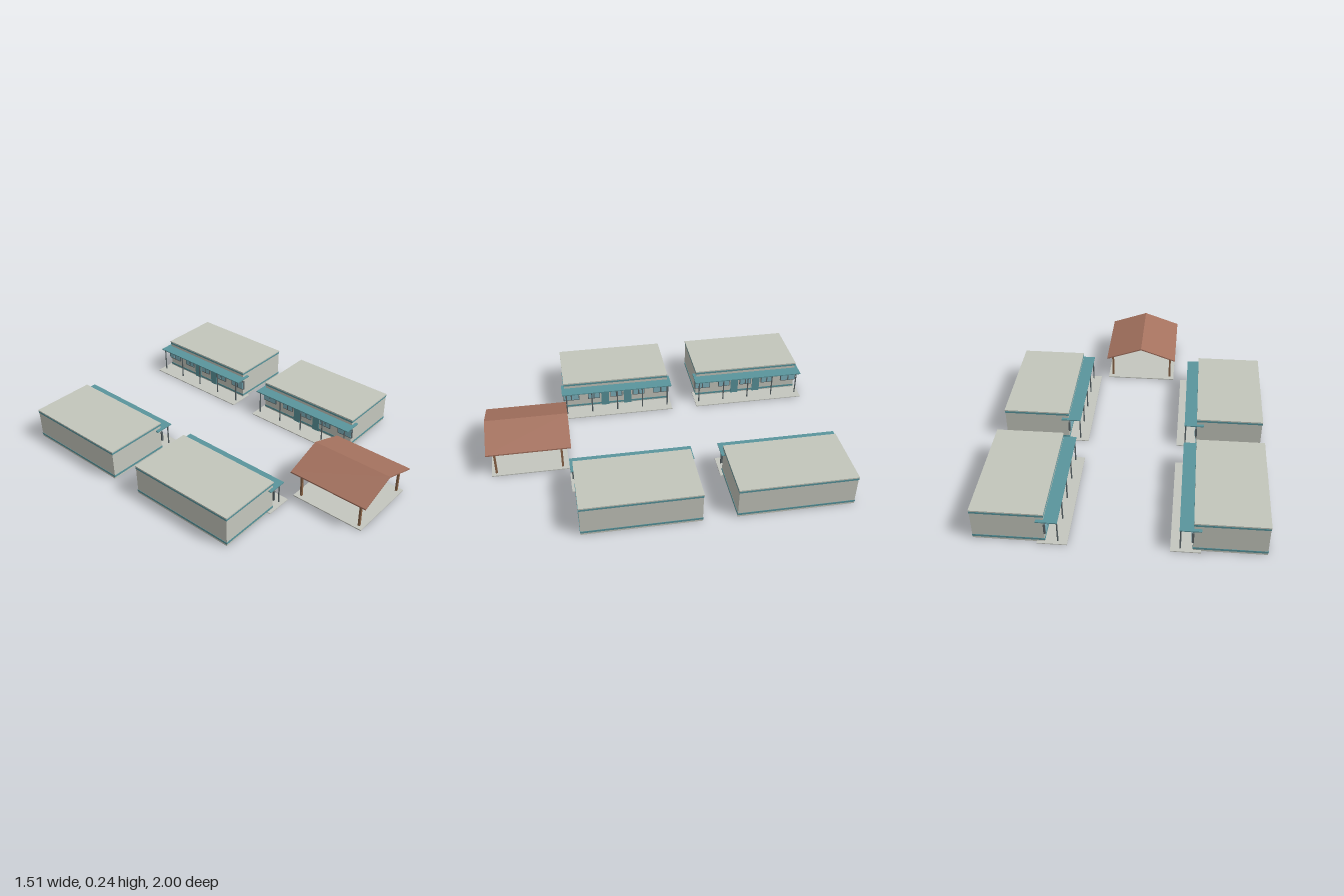
import * as THREE from 'three';

const paint = (name, color) => new THREE.MeshStandardMaterial({ name, color });

const wallGrey = paint('wall grey', 0xc6c8be);
const roofGrey = paint('roof grey', 0xc3c6bc);
const slabGrey = paint('slab grey', 0xc4c6bf);
const teal = paint('teal', 0x5a959c);
const frameGrey = paint('frame grey', 0x5c676a);
const glass = paint('glass', 0x7fb4c0);
const clay = paint('clay roof', 0xa5725f);
const timber = paint('timber', 0x8c6649);

// Box given by its lower and upper limits on each axis
function box(parent, name, material, [x0, x1], [y0, y1], [z0, z1]) {
  const geometry = new THREE.BoxGeometry(Math.abs(x1 - x0), y1 - y0, z1 - z0);
  const mesh = new THREE.Mesh(geometry, material);
  mesh.name = name;
  mesh.position.set((x0 + x1) / 2, (y0 + y1) / 2, (z0 + z1) / 2);
  parent.add(mesh);
  return mesh;
}

// One block; side is +1 for left and -1 for right, verandah facing the courtyard
function createBlock(side, zCentre) {
  const block = new THREE.Group();
  block.name = side > 0 ? 'leftBlock' : 'rightBlock';
  block.position.z = zCentre;
  const add = (name, material, x, y, z) =>
    box(block, name, material, x.map((v) => v * side), y, z);

  // Body, trim bands and flat roof
  add('walls', wallGrey, [0.377, 0.752], [0, 0.183], [-0.328, 0.328]);
  add('baseBand', teal, [0.375, 0.754], [0.012, 0.024], [-0.33, 0.33]);
  add('topBand', teal, [0.375, 0.754], [0.17, 0.181], [-0.33, 0.33]);
  add('roof', roofGrey, [0.375, 0.755], [0.183, 0.19], [-0.331, 0.331]);

  // Verandah floor, canopy and posts
  add('verandahSlab', slabGrey, [0.262, 0.418], [0, 0.005], [-0.345, 0.345]);
  add('canopy', teal, [0.305, 0.416], [0.147, 0.153], [-0.346, 0.346]);
  for (let i = -2; i <= 2; i++) {
    const post = new THREE.Mesh(new THREE.CylinderGeometry(0.004, 0.004, 0.142, 8), frameGrey);
    post.name = 'verandahPost';
    post.position.set(0.312 * side, 0.076, i * 0.16);
    block.add(post);
  }

  // Windows, the end ones wrapping the corners
  for (let i = -2; i <= 2; i++) {
    const half = Math.abs(i) === 2 ? 0.05 : 0.038;
    const z = i * 0.1435;
    add('windowFrame', frameGrey, [0.368, 0.379], [0.064, 0.126], [z - half, z + half]);
    for (const k of [-1, 1]) {
      const c = z + (k * half) / 2;
      const w = half / 2 - 0.004;
      add('windowPane', glass, [0.3665, 0.369], [0.069, 0.121], [c - w, c + w]);
    }
  }

  // Doors between the windows
  for (const z of [-0.072, 0.072]) {
    add('door', teal, [0.372, 0.378], [0.005, 0.126], [z - 0.024, z + 0.024]);
  }
  return block;
}

// Sloping bar across one side of the gable, extruded along z
function slope(parent, name, material, side, [xEave, yEave], yRidge, thickness, [z0, z1]) {
  const points = [
    [0, yRidge], [xEave, yEave], [xEave, yEave - thickness], [0, yRidge - thickness],
  ].map(([x, y]) => new THREE.Vector2(x * side, y));
  const geometry = new THREE.ExtrudeGeometry(new THREE.Shape(points), {
    depth: z1 - z0, bevelEnabled: false,
  });
  const mesh = new THREE.Mesh(geometry, material);
  mesh.name = name;
  mesh.position.z = z0;
  parent.add(mesh);
}

// Open pavilion with a gable roof
function createPavilion() {
  const pavilion = new THREE.Group();
  pavilion.name = 'pavilion';
  box(pavilion, 'pavilionSlab', slabGrey, [-0.215, 0.215], [0, 0.006], [0.54, 0.983]);

  for (const side of [-1, 1]) {
    slope(pavilion, 'gableRoof', clay, side, [0.221, 0.164], 0.241, 0.008, [0.52, 1.0]);
    for (let i = 0; i < 5; i++) {
      const z = 0.575 + i * 0.095;
      slope(pavilion, 'rafter', timber, side, [0.195, 0.151], 0.217, 0.01, [z - 0.005, z + 0.005]);
    }
    for (const z of [0.575, 0.955]) {
      const x = side * 0.188;
      box(pavilion, 'pavilionPost', timber, [x - 0.006, x + 0.006], [0.006, 0.147], [z - 0.006, z + 0.006]);
    }
  }
  return pavilion;
}

export function createModel() {
  const model = new THREE.Group();
  model.name = 'courtyardBuildings';
  for (const side of [-1, 1]) {
    for (const z of [-0.655, 0.193]) model.add(createBlock(side, z));
  }
  model.add(createPavilion());
  return model;
}
